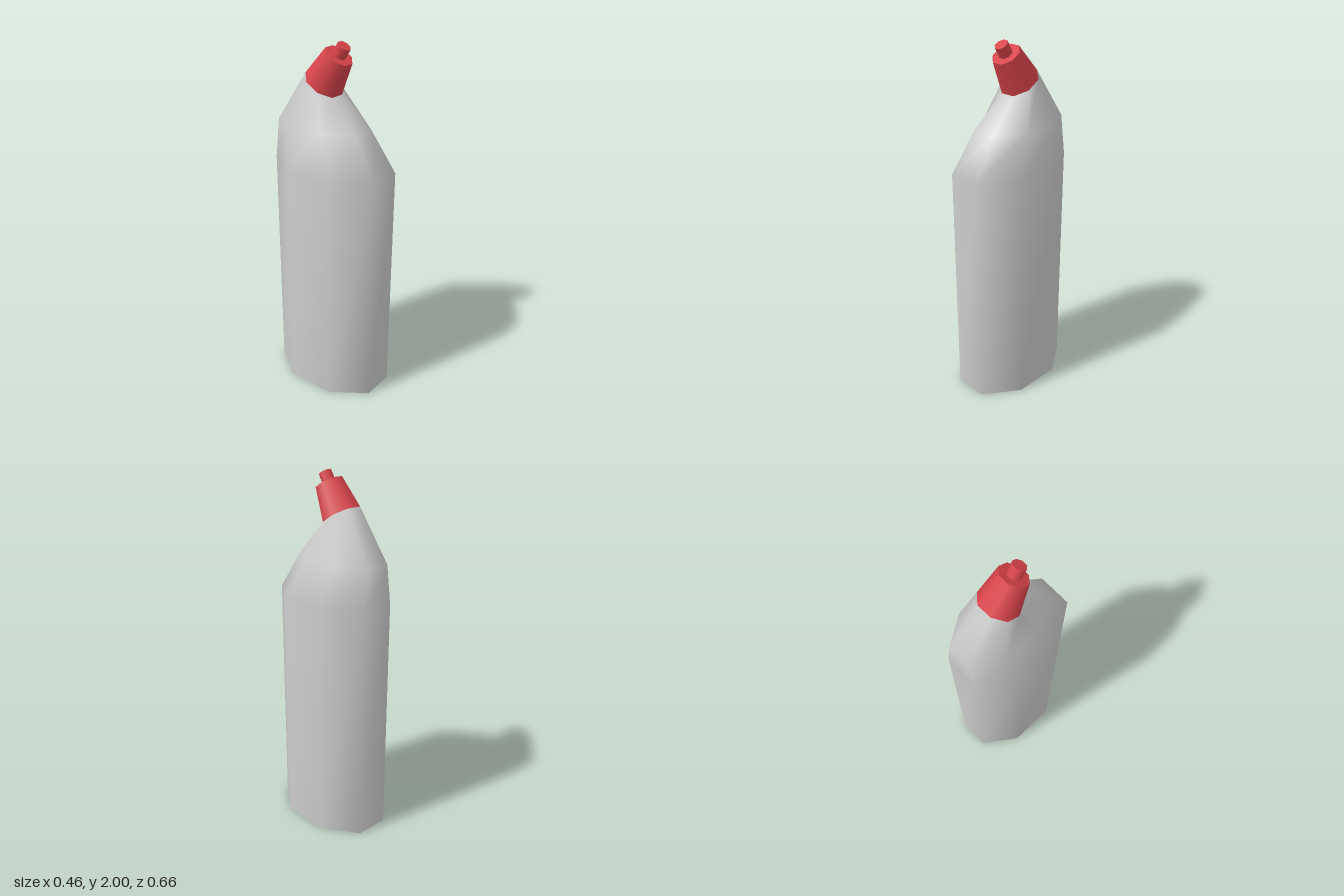
import * as THREE from 'three';
import { mergeVertices } from 'three/addons/utils/BufferGeometryUtils.js';

const SIDES = 8;
const START = Math.PI / SIDES;
const CORNER = 1 / Math.cos(START); // corner radius for a flat-to-centre distance of 1
const TILT = 0.56; // forward lean of the neck

// Body cross-sections, top to bottom: centre height and depth, half sizes, forward lean
const SECTIONS = [
  { y: 1.775, z: -0.067, halfX: 0.102, halfZ: 0.102, lean: TILT },
  { y: 1.555, z: -0.068, halfX: 0.168, halfZ: 0.26, lean: 0 },
  { y: 1.34, z: 0, halfX: 0.23, halfZ: 0.332, lean: 0 },
  { y: 0, z: 0, halfX: 0.23, halfZ: 0.332, lean: 0 },
];

function bodyGeometry() {
  const rows = SECTIONS.length - 1;
  let geo = new THREE.CylinderGeometry(CORNER, CORNER, 1, SIDES, rows, true, START);
  const pos = geo.attributes.position;
  for (let i = 0; i < pos.count; i++) {
    const s = SECTIONS[Math.floor(i / (SIDES + 1))];
    const depth = pos.getZ(i) * s.halfZ;
    pos.setXYZ(
      i,
      pos.getX(i) * s.halfX,
      s.y - depth * Math.sin(s.lean),
      s.z + depth * Math.cos(s.lean)
    );
  }
  // Weld the seam so the shading runs smoothly all round
  geo.deleteAttribute('uv');
  geo.deleteAttribute('normal');
  geo = mergeVertices(geo);
  geo.computeVertexNormals();
  return geo;
}

// Eight-sided tapered piece standing on its own base
function octagonPiece(top, bottom, height) {
  const geo = new THREE.CylinderGeometry(top * CORNER, bottom * CORNER, height, SIDES, 1, false, START);
  return geo.translate(0, height / 2, 0);
}

export function createModel() {
  const model = new THREE.Group();
  model.name = 'bottle';
  const grey = new THREE.MeshStandardMaterial({ color: 0xcccccc });
  const red = new THREE.MeshStandardMaterial({ color: 0xd8434a });

  const add = (parent, name, geo, material) => {
    const mesh = new THREE.Mesh(geo, material);
    mesh.name = name;
    parent.add(mesh);
    return mesh;
  };

  // Bottle body and its flat underside
  add(model, 'body', bodyGeometry(), grey);
  const base = SECTIONS[SECTIONS.length - 1];
  const underside = new THREE.CircleGeometry(CORNER, SIDES, START);
  underside.rotateX(Math.PI / 2).scale(base.halfX, 1, base.halfZ);
  add(model, 'underside', underside, grey);

  // Leaning cap with a small nozzle
  const cap = new THREE.Group();
  cap.name = 'cap';
  cap.position.set(0, SECTIONS[0].y, SECTIONS[0].z);
  cap.rotation.x = TILT;
  add(cap, 'capCone', octagonPiece(0.073, 0.102, 0.184), red);
  add(cap, 'nozzle', octagonPiece(0.034, 0.034, 0.062), red).position.y = 0.184;
  model.add(cap);

  return model;
}
